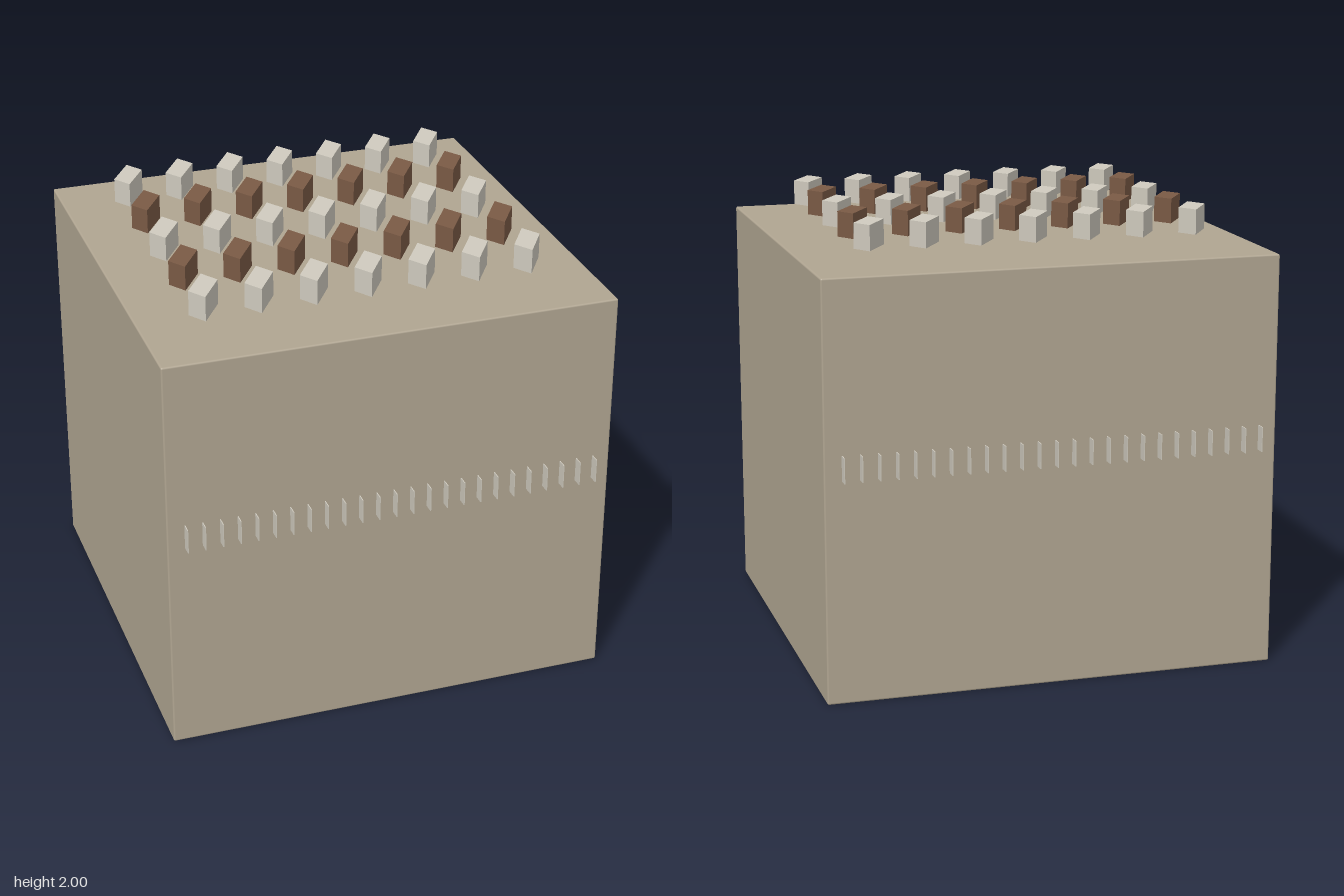
import * as THREE from 'three';
import { RoundedBoxGeometry } from 'three/addons/geometries/RoundedBoxGeometry.js';

const BODY = { width: 2, height: 1.83, depth: 1.91 };

export function createModel() {
  const model = new THREE.Group();
  model.name = 'studdedBlock';

  const bodyMaterial = new THREE.MeshStandardMaterial({ color: 0xb0a591 });
  const lightMaterial = new THREE.MeshStandardMaterial({ color: 0xcfcabe });
  const brownMaterial = new THREE.MeshStandardMaterial({ color: 0x7a5a45 });

  const add = (parent, name, geometry, material, x, y, z) => {
    const mesh = new THREE.Mesh(geometry, material);
    mesh.name = name;
    mesh.position.set(x, y, z);
    parent.add(mesh);
    return mesh;
  };

  // Main block with barely softened edges
  const bodyGeometry = new RoundedBoxGeometry(BODY.width, BODY.height, BODY.depth, 2, 0.008);
  add(model, 'body', bodyGeometry, bodyMaterial, 0, BODY.height / 2, 0);

  // Slanted diamond prisms hovering over the top, rows alternating in colour
  const diamond = new THREE.Shape([
    new THREE.Vector2(0.022, 0.112),
    new THREE.Vector2(-0.073, -0.034),
    new THREE.Vector2(-0.022, -0.112),
    new THREE.Vector2(0.073, 0.034),
  ]);
  const tileGeometry = new THREE.ExtrudeGeometry(diamond, { depth: 0.11, bevelEnabled: false });
  tileGeometry.rotateX(-Math.PI / 2);
  const tiles = new THREE.Group();
  tiles.name = 'topTiles';
  model.add(tiles);
  for (let row = 0; row < 5; row++) {
    const brown = row % 2 === 1;
    for (let column = 0; column < 7; column++) {
      add(tiles, brown ? 'brownTile' : 'lightTile', tileGeometry,
        brown ? brownMaterial : lightMaterial,
        (column - 3) * 0.24 - 0.002, 1.89, (row - 2) * 0.307 - 0.003);
    }
  }

  // Row of thin upright fins across the front and the back
  const finGeometry = new THREE.BoxGeometry(0.004, 0.11, 0.05);
  for (const side of [1, -1]) {
    const fins = new THREE.Group();
    fins.name = side > 0 ? 'frontFins' : 'backFins';
    model.add(fins);
    for (let i = 0; i < 25; i++) {
      add(fins, 'fin', finGeometry, lightMaterial, (i - 12) * 0.0768, 1.03, side * 0.975);
    }
  }

  return model;
}
